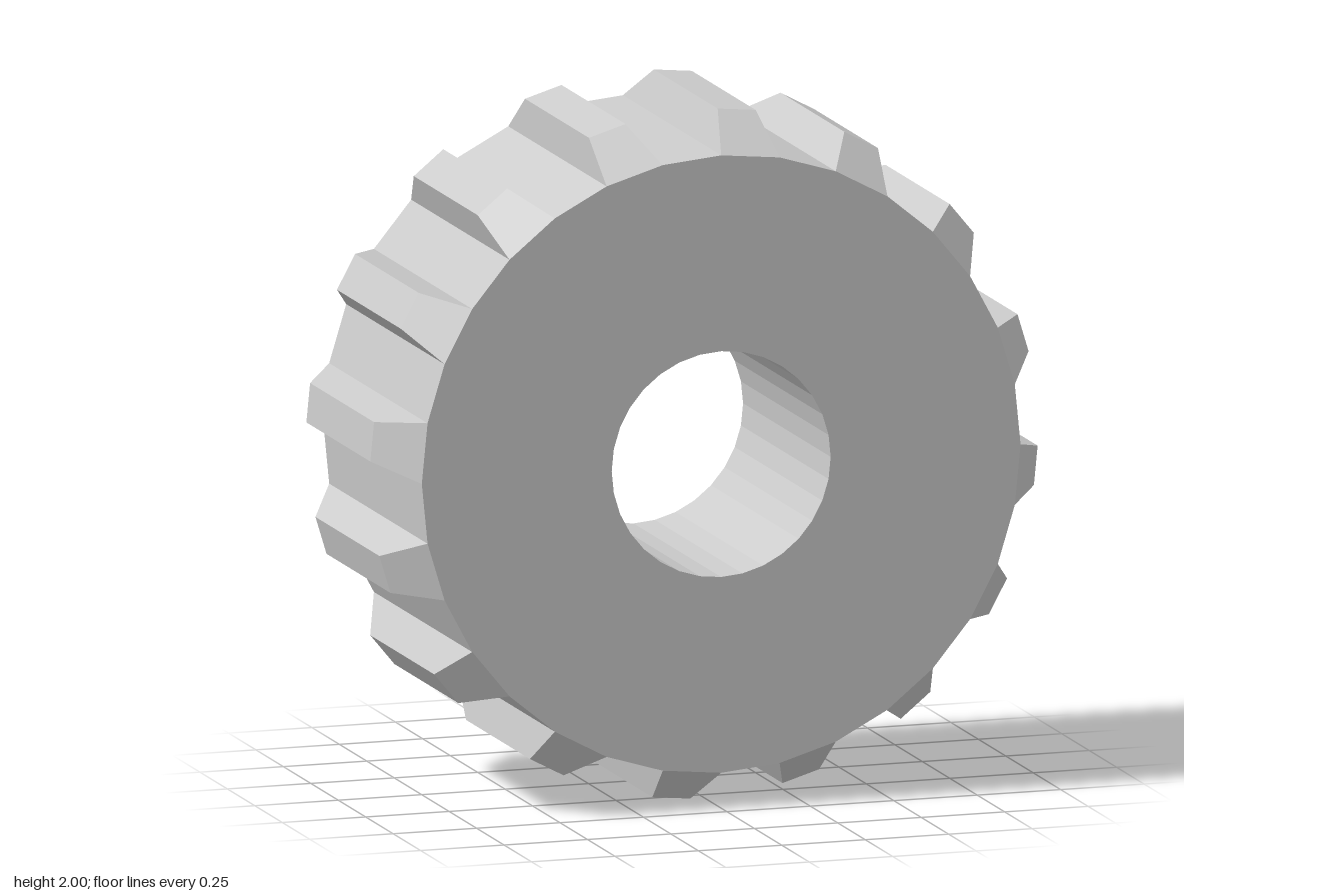
import * as THREE from 'three';

const SIDES = 32;
const R = 0.897;          // rim radius
const BORE = 0.328;       // hub radius
const HALF = 0.448;       // half the width along z
const TOOTH_R = 0.999;    // distance of a tooth's flat top from the axis
const TAPER = 0.65;       // tooth top size relative to its base
const STEP = (Math.PI * 2) / SIDES;

// Flat-sided geometry from a list of four-cornered faces
function fromQuads(quads) {
  const positions = [];
  for (const [a, b, c, d] of quads) {
    for (const p of [a, b, c, a, c, d]) positions.push(p.x, p.y, p.z);
  }
  const geometry = new THREE.BufferGeometry();
  geometry.setAttribute('position', new THREE.Float32BufferAttribute(positions, 3));
  geometry.computeVertexNormals();
  return geometry;
}

// Rectangle facing +x at the given radius, counter-clockwise from outside
function patch(radius, scale) {
  const w = R * Math.sin(STEP / 2) * scale;
  const d = HALF * scale;
  return [[-w, -d], [w, -d], [w, d], [-w, d]].map(([y, z]) => new THREE.Vector3(radius, y, z));
}

export function createModel() {
  const material = new THREE.MeshStandardMaterial({
    color: 0xcccccc, flatShading: true, side: THREE.DoubleSide,
  });
  const model = new THREE.Group();
  model.name = 'gearWheel';
  const add = (name, geometry) => {
    const mesh = new THREE.Mesh(geometry, material);
    mesh.name = name;
    mesh.position.y = 1;
    model.add(mesh);
    return mesh;
  };

  // Front plate with the bore hole; the back stays open
  add('frontPlate', new THREE.RingGeometry(BORE, R, SIDES)).position.z = HALF;

  // Thin hub tube, ending a little short of the open back
  const hubBack = -0.35;
  const hub = new THREE.CylinderGeometry(BORE, BORE, HALF - hubBack, SIDES, 1, true);
  add('hub', hub.rotateX(Math.PI / 2)).position.z = (HALF + hubBack) / 2;

  // Rim: flat gaps alternate with hollow, tapered teeth
  const base = patch(R * Math.cos(STEP / 2), 1);
  const top = patch(TOOTH_R, TAPER);
  const toothQuads = [top];
  for (let k = 0; k < 4; k++) {
    const n = (k + 1) % 4;
    toothQuads.push([base[k], base[n], top[n], top[k]]);
  }
  const gap = fromQuads([base]);
  const tooth = fromQuads(toothQuads);
  for (let i = 0; i < SIDES; i++) {
    const isTooth = i % 2 === 1;
    const mesh = add(isTooth ? 'tooth' : 'rimGap', isTooth ? tooth : gap);
    mesh.rotation.z = (i + 0.5) * STEP;
  }
  return model;
}
